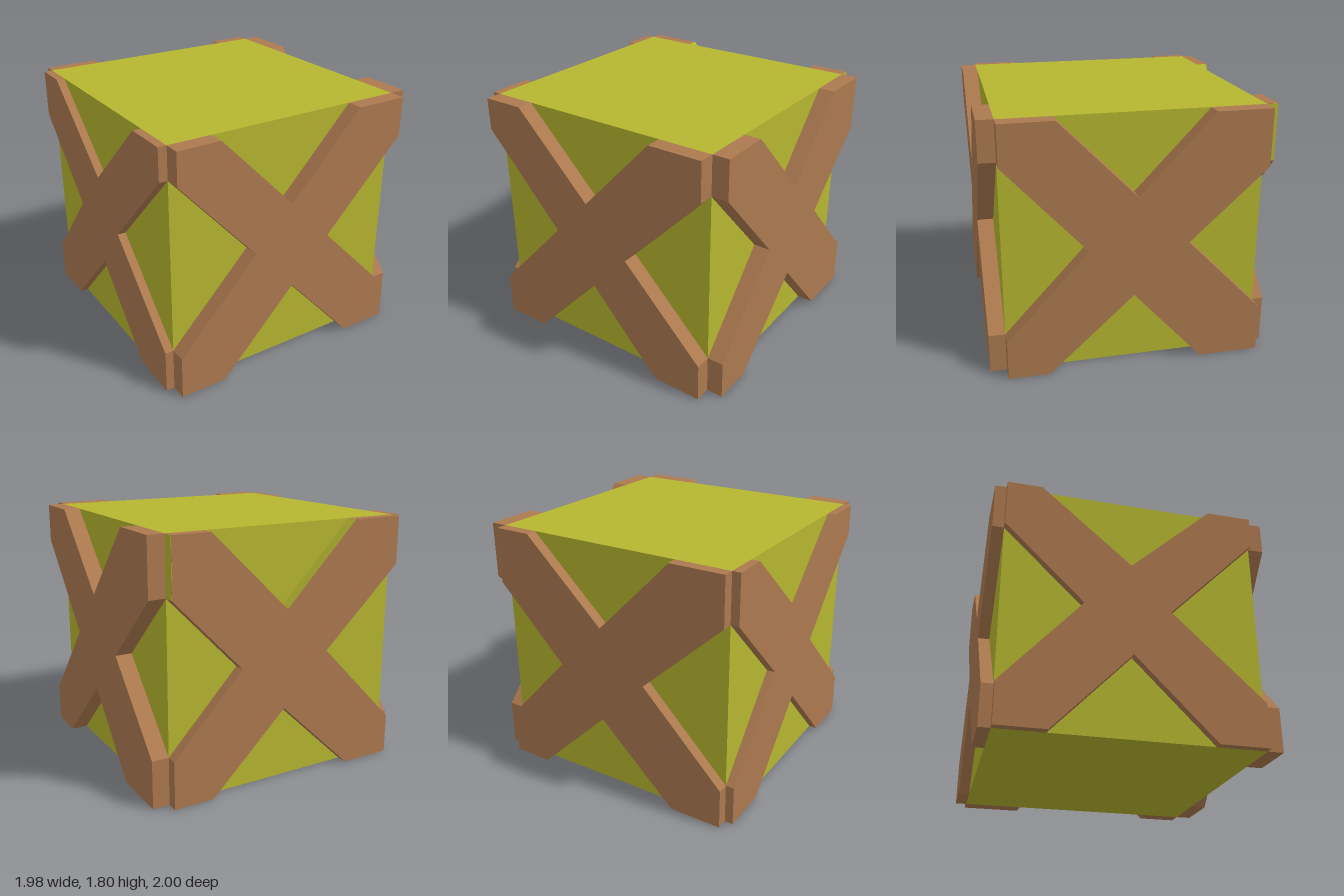
import * as THREE from 'three';

const H = 1.8;
const green = new THREE.MeshStandardMaterial({ color: 0xb6b630, flatShading: true });
const brown = new THREE.MeshStandardMaterial({ color: 0xac794f, flatShading: true });

// Each brace is a panel with a triangular notch in every side.
// u runs to the right as seen from outside; each notch is start, apex, end.
const braces = [
  { name: 'frontBrace', turn: 0, base: 0.885, depth: 0.115, u0: -0.93, u1: 0.87,
    left: [0.315, [-0.345, 0.93], 1.57], right: [0.28, [0.265, 0.895], 1.52],
    top: [-0.62, [-0.06, 1.23], 0.48], bottom: [-0.59, [-0.03, 0.585], 0.505] },
  { name: 'backBrace', turn: Math.PI, base: 0.92, depth: 0.08, u0: -0.87, u1: 0.93,
    left: [0.34, [-0.36, 0.88], 1.4], right: [0.29, [0.33, 0.9], 1.455],
    top: [-0.595, [-0.01, 1.24], 0.54], bottom: [-0.58, [-0.02, 0.54], 0.55],
    // edges painted like the core
    painted: [[[-0.87, 1.4], [-0.87, H]], [[-0.01, 1.24], [0.54, H]]] },
  { name: 'leftBrace', turn: Math.PI / 2, base: 0.87, depth: 0.12, u0: -0.885, u1: 0.92,
    left: [0.28, [-0.315, 0.9], 1.52], right: [0.34, [0.375, 0.9], 1.4],
    top: [-0.52, [0.015, 1.255], 0.53], bottom: [-0.595, [-0.005, 0.545], 0.49] },
  { name: 'rightBrace', turn: -Math.PI / 2, base: 0.93, depth: 0.06, u0: -0.92, u1: 0.885,
    left: [0.29, [-0.365, 0.91], 1.455], right: [0.315, [0.24, 0.92], 1.57],
    top: [-0.675, [-0.035, 1.25], 0.56], bottom: [-0.58, [-0.03, 0.57], 0.53] },
];

// X-shaped outline, counter-clockwise from the lower left corner
function crossShape({ u0, u1, left, right, top, bottom }) {
  return new THREE.Shape([
    [u0, 0], [bottom[0], 0], bottom[1], [bottom[2], 0],
    [u1, 0], [u1, right[0]], right[1], [u1, right[2]],
    [u1, H], [top[2], H], top[1], [top[0], H],
    [u0, H], [u0, left[2]], left[1], [u0, left[0]],
  ].map(([u, y]) => new THREE.Vector2(u, y)));
}

// Thin painted strip along one edge of a brace
function edgeStrip([a, b], base, depth) {
  const dx = b[0] - a[0], dy = b[1] - a[1];
  const strip = new THREE.Mesh(
    new THREE.BoxGeometry(Math.hypot(dx, dy) - 0.004, 0.004, depth - 0.002), green);
  strip.position.set((a[0] + b[0]) / 2, (a[1] + b[1]) / 2, base + depth / 2);
  strip.rotation.z = Math.atan2(dy, dx);
  strip.name = 'paintedEdge';
  return strip;
}

export function createModel() {
  const model = new THREE.Group();
  model.name = 'bracedCrate';

  // Solid core
  const core = new THREE.Mesh(new THREE.BoxGeometry(1.8, H, 1.805), green);
  core.position.set(-0.03, H / 2, -0.0175);
  core.name = 'crateCore';
  model.add(core);

  // Cross braces on the four sides
  for (const spec of braces) {
    const side = new THREE.Group();
    side.name = spec.name;
    side.rotation.y = spec.turn;
    const cross = new THREE.Mesh(
      new THREE.ExtrudeGeometry(crossShape(spec), { depth: spec.depth, bevelEnabled: false }), brown);
    cross.position.z = spec.base;
    cross.name = 'crossPanel';
    side.add(cross);
    for (const edge of spec.painted ?? []) side.add(edgeStrip(edge, spec.base, spec.depth));
    model.add(side);
  }
  return model;
}
